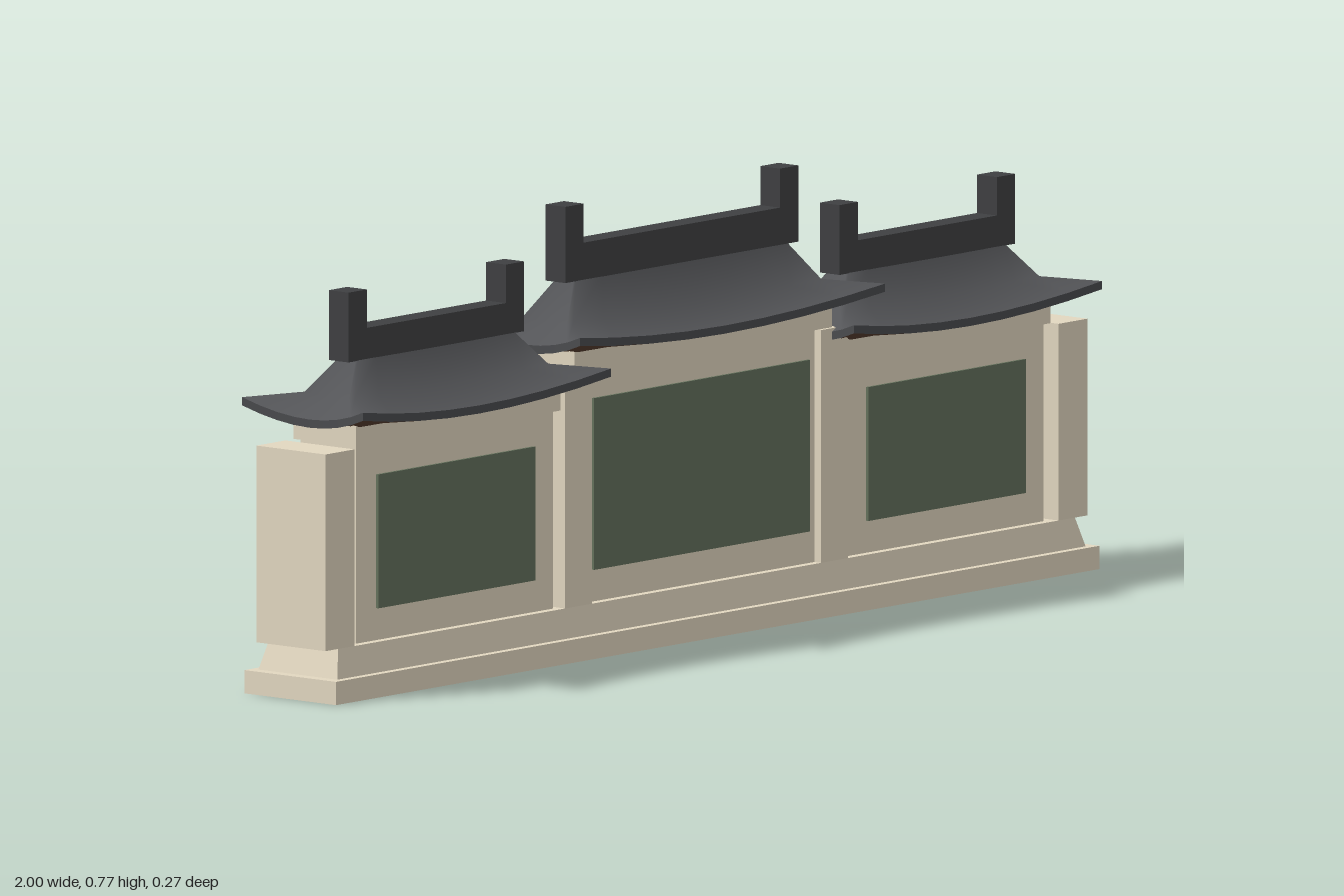
import * as THREE from 'three';

const mat = (color, flatShading = true) => new THREE.MeshStandardMaterial({ color, flatShading });
const stone = mat(0xe2d7c0), green = mat(0x64715c), timber = mat(0x5a4030);
const tile = mat(0x545558, false), eaveTile = mat(0x4a4b4e), ridgeTile = mat(0x3f4042);

// Box spanning y0..y1, centred on x and z = 0
function box(parent, name, material, x, y0, y1, width, depth) {
  const mesh = new THREE.Mesh(new THREE.BoxGeometry(width, y1 - y0, depth), material);
  mesh.position.set(x, (y0 + y1) / 2, 0);
  mesh.name = name;
  parent.add(mesh);
  return mesh;
}

// Rectangular ring of points; corners are pushed out and lifted
const SEG = 8;
function ring(hx, hz, y, flare, lift) {
  const points = [];
  for (let side = 0; side < 4; side++) {
    for (let i = 0; i < SEG; i++) {
      const u = -1 + (2 * i) / SEG, bend = u * u;
      const ox = hx + flare * bend, oz = hz + flare * bend;
      const px = u * (hx + flare), pz = u * (hz + flare);
      const [x, z] = [[px, oz], [ox, -pz], [-px, -oz], [-ox, pz]][side];
      points.push([x, y + lift * bend, z]);
    }
  }
  return points;
}

// Skin joining rings in order, counter-clockwise from above
function loft(parent, name, material, rings) {
  const n = rings[0].length, index = [];
  for (let r = 0; r < rings.length - 1; r++) {
    for (let i = 0; i < n; i++) {
      const a = r * n + i, b = r * n + ((i + 1) % n);
      index.push(a, b, b + n, a, b + n, a + n);
    }
  }
  const geometry = new THREE.BufferGeometry();
  geometry.setAttribute('position', new THREE.Float32BufferAttribute(rings.flat(2), 3));
  geometry.setIndex(index);
  geometry.computeVertexNormals();
  const mesh = new THREE.Mesh(geometry, material);
  mesh.name = name;
  parent.add(mesh);
}

// Two-pitch hipped roof with upturned corners, soffit and ridge
function roof({ eaveX, topX, eaveY, topY, ridgeX, ridgeTop, finialTop }) {
  const group = new THREE.Group();
  group.name = 'roof';
  const eaveZ = 0.118, flare = 0.017, lift = 0.027, bottomY = eaveY - 0.014;

  const soffitInner = ring(eaveX - 0.055, 0.062, bottomY, 0, 0);
  const lowerEdge = ring(eaveX, eaveZ, bottomY, flare, lift);
  const upperEdge = ring(eaveX, eaveZ, eaveY, flare, lift);
  const middle = ring(topX + 0.046, 0.052, eaveY + 0.031, 0.004, 0.005);
  const top = ring(topX, 0.02, topY, 0, 0);
  loft(group, 'soffit', timber, [soffitInner, lowerEdge]);
  loft(group, 'eaveEdge', eaveTile, [lowerEdge, upperEdge]);
  loft(group, 'roofTiles', tile, [upperEdge, middle, top]);

  // Ridge beam with an upright block at each end
  box(group, 'ridge', ridgeTile, 0, topY - 0.004, ridgeTop, ridgeX * 2, 0.044);
  for (const s of [-1, 1]) {
    box(group, 'ridgeEnd', ridgeTile, s * (ridgeX - 0.024), ridgeTop, finialTop, 0.048, 0.044);
  }
  return group;
}

// Wall bay with raised panels on both faces and a lintel
function bay(x, width, wallTop, lintelTop, lintelWidth, panelWidth, panelTop) {
  const group = new THREE.Group();
  group.name = 'bay';
  group.position.x = x;
  box(group, 'wall', stone, 0, 0.09, wallTop, width, 0.124);
  box(group, 'lintel', stone, 0, wallTop, lintelTop, lintelWidth, 0.14);
  for (const s of [-1, 1]) {
    box(group, 'panel', green, 0, 0.145, panelTop, panelWidth, 0.008).position.z = s * 0.063;
  }
  return group;
}

export function createModel() {
  const model = new THREE.Group();
  model.name = 'screenWall';

  // Base slab, hollow underneath
  const shell = stone.clone();
  shell.side = THREE.DoubleSide;
  const slab = box(model, 'baseSlab', shell, 0, 0, 0.04, 2, 0.204).geometry;
  const faces = Array.from(slab.index.array);
  faces.splice(18, 6);
  slab.setIndex(faces);
  slab.clearGroups();

  // Tapered upper course
  const course = box(model, 'taperedCourse', stone, 0, 0.04, 0.09, 1.96, 0.176).geometry;
  const p = course.attributes.position;
  for (let i = 0; i < p.count; i++) {
    if (p.getY(i) > 0) p.setXYZ(i, Math.sign(p.getX(i)) * 0.965, p.getY(i), Math.sign(p.getZ(i)) * 0.077);
  }
  course.computeVertexNormals();

  // Central bay
  model.add(bay(0, 0.6, 0.49, 0.53, 0.675, 0.565, 0.44));
  model.add(roof({
    eaveX: 0.383, topX: 0.275, eaveY: 0.537, topY: 0.64,
    ridgeX: 0.305, ridgeTop: 0.7, finialTop: 0.767,
  }));

  // Side bays and pillars
  for (const s of [-1, 1]) {
    model.add(bay(s * 0.642, 0.516, 0.43, 0.467, 0.535, 0.412, 0.375));
    const sideRoof = roof({
      eaveX: 0.308, topX: 0.203, eaveY: 0.475, topY: 0.57,
      ridgeX: 0.23, ridgeTop: 0.62, finialTop: 0.686,
    });
    sideRoof.position.x = s * 0.643;
    model.add(sideRoof);
    box(model, 'innerPillar', stone, s * 0.335, 0.09, 0.49, 0.07, 0.154);
    box(model, 'endPillar', stone, s * 0.96, 0.09, 0.428, 0.076, 0.154);
  }
  return model;
}
